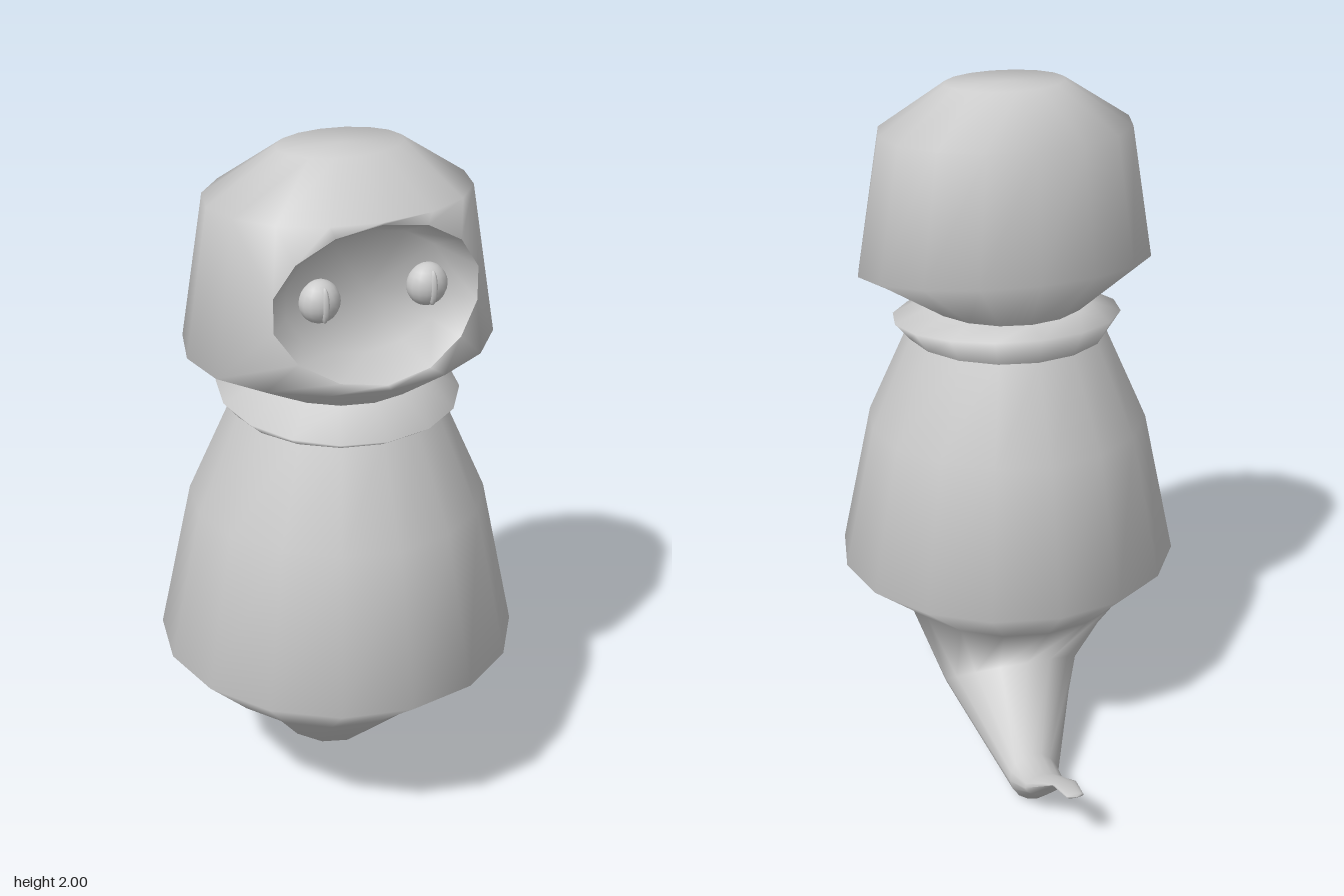
import * as THREE from 'three';

const SIDES = 16;
const material = () => new THREE.MeshStandardMaterial({ color: 0xcccccc, side: THREE.DoubleSide });

function makeMesh(name, points, index) {
  const geo = new THREE.BufferGeometry();
  geo.setAttribute('position', new THREE.Float32BufferAttribute(points.flat(), 3));
  geo.setIndex(index);
  geo.computeVertexNormals();
  const mesh = new THREE.Mesh(geo, material());
  mesh.name = name;
  return mesh;
}

// Tilted oval ring: front point (z, y), back point (z, y), centre x, half width
function ring([zf, yf, zb, yb, cx, rx]) {
  return Array.from({ length: SIDES }, (_, k) => {
    const a = (k / SIDES) * Math.PI * 2, c = Math.cos(a);
    return [cx + rx * Math.sin(a), (yf + yb) / 2 + (c * (yf - yb)) / 2, (zf + zb) / 2 + (c * (zf - zb)) / 2];
  });
}

function quad(index, a, b, c, d) {
  index.push(a, b, c, a, c, d);
}

// Joins rings from first to last; skip(k) leaves out cells
function loft(rings, skip = () => false) {
  const points = rings.flatMap(ring), index = [];
  for (let i = 0; i < rings.length - 1; i++) {
    for (let k = 0; k < SIDES; k++) {
      if (skip(i, k)) continue;
      const a = i * SIDES + k, b = i * SIDES + ((k + 1) % SIDES);
      quad(index, a, b, b + SIDES, a + SIDES);
    }
  }
  return { points, index };
}

// Closes a ring with a fan; up = true when the cap faces the loft's end
function cap({ points, index }, start, count, centre, up) {
  const c = points.push(centre) - 1;
  for (let k = 0; k < count; k++) {
    const a = start + k, b = start + ((k + 1) % count);
    if (up) index.push(a, b, c);
    else index.push(b, a, c);
  }
}

export function createModel() {
  const group = new THREE.Group();

  // Tail and body, lofted from the tail tip up to the collar's base
  const body = loft([
    [-0.715, 0.18, -0.71, 0.19, 0.095, 0.025],
    [-0.62, 0.165, -0.65, 0.19, 0.1, 0.035],
    [-0.53, 0.075, -0.51, 0.13, 0.12, 0.06],
    [-0.45, 0.005, -0.4, 0.13, 0.12, 0.075],
    [0.19, 0.05, -0.14, 0.28, 0.05, 0.21],
    [0.55, 0.37, -0.14, 0.37, -0.02, 0.35],
    [0.73, 0.52, -0.31, 0.52, 0, 0.52],
    [0.63, 0.97, -0.22, 0.97, 0, 0.425],
    [0.505, 1.25, -0.1, 1.25, 0, 0.3],
  ]);
  cap(body, 0, SIDES, [0.095, 0.19, -0.725], false);
  group.add(makeMesh('bodyAndTail', body.points, body.index));

  // Flared collar and neck
  const collar = loft([
    [0.505, 1.24, -0.1, 1.25, 0, 0.3],
    [0.545, 1.265, -0.13, 1.33, 0, 0.345],
    [0.45, 1.34, -0.04, 1.345, 0, 0.24],
  ]);
  group.add(makeMesh('collar', collar.points, collar.index));

  // Hood, open at the front between its two widest rings
  const hood = loft([
    [0.45, 1.34, -0.04, 1.345, 0, 0.24],
    [0.55, 1.42, -0.12, 1.49, 0, 0.45],
    [0.495, 1.87, -0.09, 1.87, 0, 0.38],
    [0.34, 2, 0.08, 2, 0, 0.18],
  ], (i, k) => i === 1 && (k < 3 || k >= SIDES - 3));
  cap(hood, 3 * SIDES, SIDES, [0, 2, 0.21], true);

  // Oval rim of the face opening, bridged to the edge of the hood
  const COUNT = 14;
  const rim = Array.from({ length: COUNT }, (_, j) => {
    const a = -Math.PI / 2 + ((j - 3) / COUNT) * Math.PI * 2, s = Math.sin(a);
    return [0.305 * Math.cos(a), 1.643 + 0.217 * s, 0.455 + (s < 0 ? 0.075 : 0.03) * s * s];
  });
  const edge = [];
  for (let k = -3; k <= 3; k++) edge.push(SIDES + ((k + SIDES) % SIDES));
  for (let k = 3; k >= -3; k--) edge.push(2 * SIDES + ((k + SIDES) % SIDES));
  const base = hood.points.length;
  hood.points.push(...rim);
  for (let j = 0; j < COUNT; j++) {
    const n = (j + 1) % COUNT;
    quad(hood.index, edge[j], edge[n], base + n, base + j);
  }
  group.add(makeMesh('hood', hood.points, hood.index));

  // Hollow face inside the rim
  const face = { points: [...rim], index: [] };
  face.points.push(...rim.map(([x, y]) => [x * 0.8, 1.643 + (y - 1.643) * 0.8, 0.4]));
  for (let j = 0; j < COUNT; j++) {
    const n = (j + 1) % COUNT;
    quad(face.index, j, n, COUNT + n, COUNT + j);
  }
  cap(face, COUNT, COUNT, [0, 1.643, 0.385], true);
  group.add(makeMesh('face', face.points, face.index));

  // Round eyes with narrow upright pupils
  for (const [side, x] of [['left', 0.17], ['right', -0.145]]) {
    const eye = new THREE.Mesh(new THREE.SphereGeometry(1, 16, 12), material());
    eye.name = side + 'Eye';
    eye.scale.set(0.058, 0.06, 0.05);
    eye.position.set(x, 1.643, 0.405);
    const pupil = new THREE.Mesh(new THREE.SphereGeometry(1, 8, 12), material());
    pupil.name = side + 'Pupil';
    pupil.scale.set(0.012, 0.05, 0.02);
    pupil.position.set(x, 1.643, 0.44);
    group.add(eye, pupil);
  }

  return group;
}
